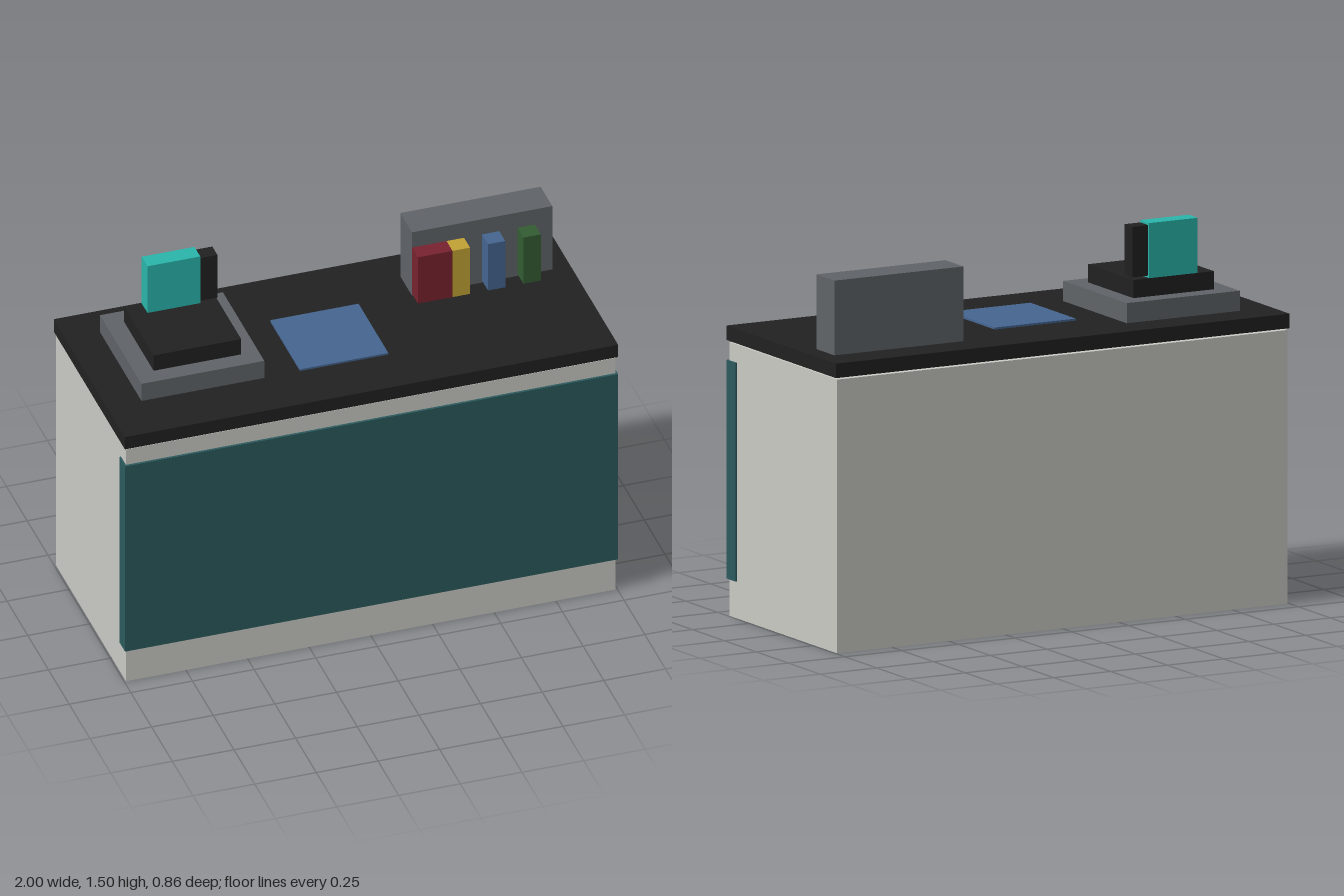
import * as THREE from 'three';

const material = (name, color) => {
  const m = new THREE.MeshStandardMaterial({ color });
  m.name = name;
  return m;
};

export function createModel() {
  const stone = material('pale stone', 0xcacac5);
  const petrol = material('dark teal', 0x2c5a5d);
  const black = material('black', 0x212121);
  const grey = material('slate grey', 0x5f6468);
  const aqua = material('bright teal', 0x2ab5ab);
  const red = material('red', 0x78222f);
  const yellow = material('yellow', 0xc1a234);
  const blue = material('blue', 0x45658f);
  const green = material('green', 0x335c33);

  const model = new THREE.Group();
  model.name = 'serviceCounter';

  const group = (name) => {
    const g = new THREE.Group();
    g.name = name;
    model.add(g);
    return g;
  };

  // Box given by its extents along each axis
  const box = (parent, name, mat, [x0, x1], [y0, y1], [z0, z1]) => {
    const mesh = new THREE.Mesh(new THREE.BoxGeometry(x1 - x0, y1 - y0, z1 - z0), mat);
    mesh.position.set((x0 + x1) / 2, (y0 + y1) / 2, (z0 + z1) / 2);
    mesh.name = name;
    parent.add(mesh);
  };

  // Counter: body, front panel and worktop
  const counter = group('counter');
  box(counter, 'body', stone, [-0.993, 0.993], [0, 1.073], [-0.426, 0.42]);
  box(counter, 'frontPanel', petrol, [-1, 1], [0.145, 1.002], [0.36, 0.43]);
  box(counter, 'worktop', black, [-1, 1], [1.08, 1.137], [-0.43, 0.428]);

  // Cash register: stepped base with an upright display
  const register = group('cashRegister');
  box(register, 'registerBase', grey, [-0.86, -0.362], [1.075, 1.216], [-0.288, 0.212]);
  box(register, 'registerTop', black, [-0.787, -0.432], [1.216, 1.287], [-0.215, 0.141]);
  box(register, 'display', aqua, [-0.716, -0.502], [1.287, 1.503], [-0.214, -0.144]);
  box(register, 'displaySide', black, [-0.502, -0.432], [1.296, 1.494], [-0.207, -0.146]);

  // Mat lying on the worktop
  box(model, 'counterMat', blue, [-0.217, 0.141], [1.075, 1.145], [-0.147, 0.211]);

  // Rack with a row of boxes in front
  const rack = group('displayRack');
  box(rack, 'rackBack', grey, [0.357, 0.926], [1.075, 1.43], [-0.286, -0.145]);
  const goods = [
    ['redBox', red, 0.357, 0.497],
    ['yellowBox', yellow, 0.497, 0.568],
    ['blueBox', blue, 0.641, 0.711],
    ['greenBox', green, 0.785, 0.855],
  ];
  for (const [name, mat, x0, x1] of goods) {
    box(rack, name, mat, [x0, x1], [1.146, 1.36], [-0.145, -0.073]);
  }

  return model;
}
